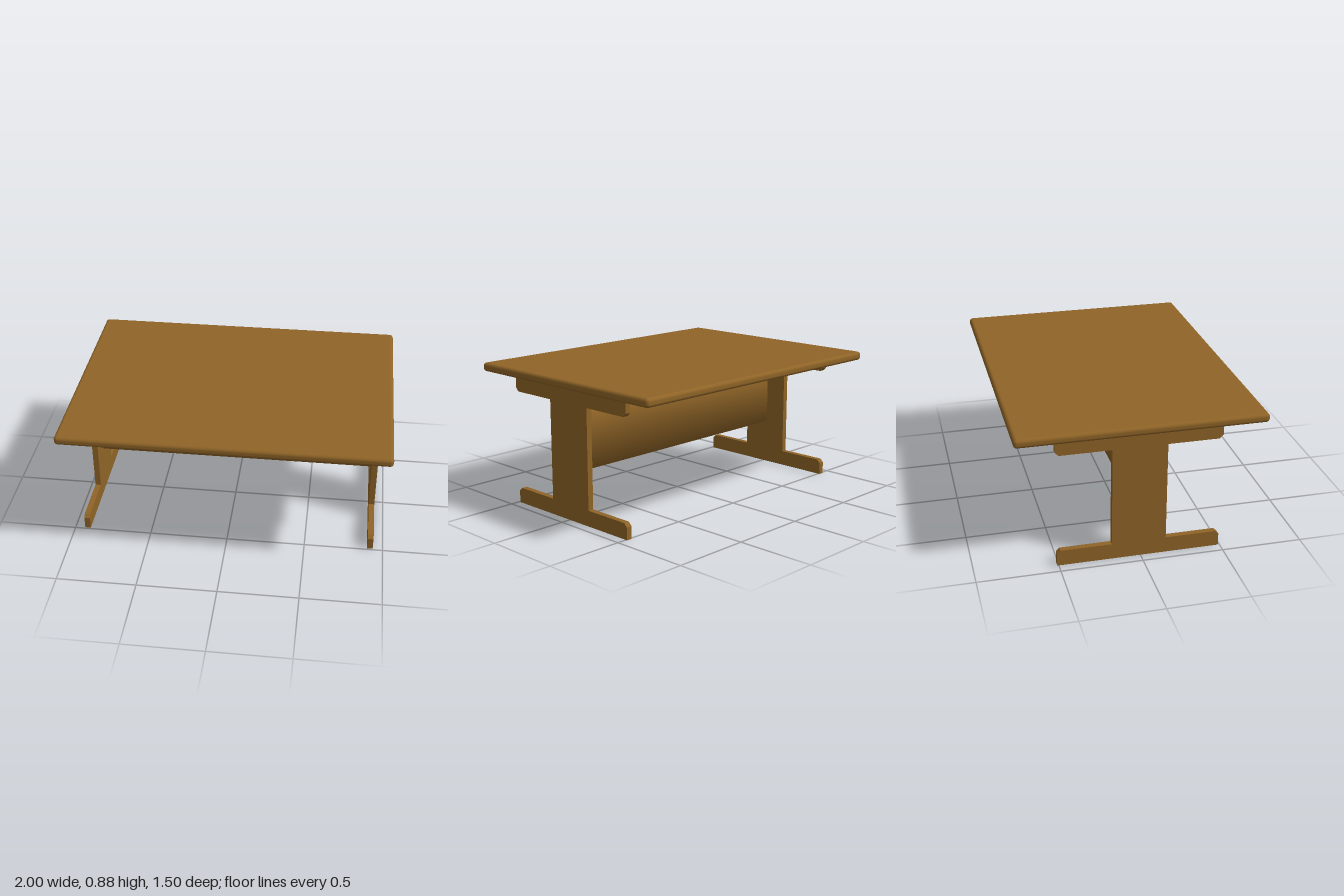
import * as THREE from 'three';
import { RoundedBoxGeometry } from 'three/addons/geometries/RoundedBoxGeometry.js';

const wood = new THREE.MeshStandardMaterial({ color: 0x8f6427 });
wood.name = 'brown wood';

function addPart(group, name, geometry, x, y, z) {
  const mesh = new THREE.Mesh(geometry, wood);
  mesh.name = name;
  mesh.position.set(x, y, z);
  group.add(mesh);
}

// I-shaped end frame: chamfered foot, column and chamfered top rail in one board
function endFrameGeometry(thickness) {
  const half = 0.5, column = 0.166, height = 0.83, rail = 0.1, c = 0.022;
  const side = [
    [half, 0], [half, rail - c], [half - c, rail], [column, rail],
    [column, height - rail], [half - c, height - rail], [half, height - rail + c], [half, height],
  ];
  const mirrored = side.map(([z, y]) => [-z, y]).reverse();
  const shape = new THREE.Shape([...side, ...mirrored].map(([z, y]) => new THREE.Vector2(z, y)));
  const geometry = new THREE.ExtrudeGeometry(shape, { depth: thickness, bevelEnabled: false });
  geometry.translate(0, 0, -thickness / 2);
  return geometry.rotateY(-Math.PI / 2);
}

// Board with softly shaded long edges: a four-sided tube pulled out to a rectangle
function softBoardGeometry(length, height, thickness) {
  const geometry = new THREE.CylinderGeometry(1, 1, length, 4, 1, true, Math.PI / 4);
  geometry.rotateZ(Math.PI / 2);
  const p = geometry.attributes.position;
  for (let i = 0; i < p.count; i++) {
    p.setY(i, Math.sign(p.getY(i)) * height / 2);
    p.setZ(i, Math.sign(p.getZ(i)) * thickness / 2);
  }
  return geometry;
}

export function createModel() {
  const table = new THREE.Group();
  table.name = 'table';

  // Top with rounded rim
  addPart(table, 'tableTop', new RoundedBoxGeometry(2, 0.056, 1.5, 4, 0.022), 0, 0.857, 0);

  // Mirrored end frames
  const frame = endFrameGeometry(0.037);
  for (const s of [1, -1]) {
    addPart(table, s > 0 ? 'leftEndFrame' : 'rightEndFrame', frame, s * 0.919, 0, -0.01);
  }

  // Panel joining the two columns
  addPart(table, 'stretcherPanel', softBoardGeometry(1.802, 0.393, 0.036), 0, 0.495, -0.01);
  return table;
}
